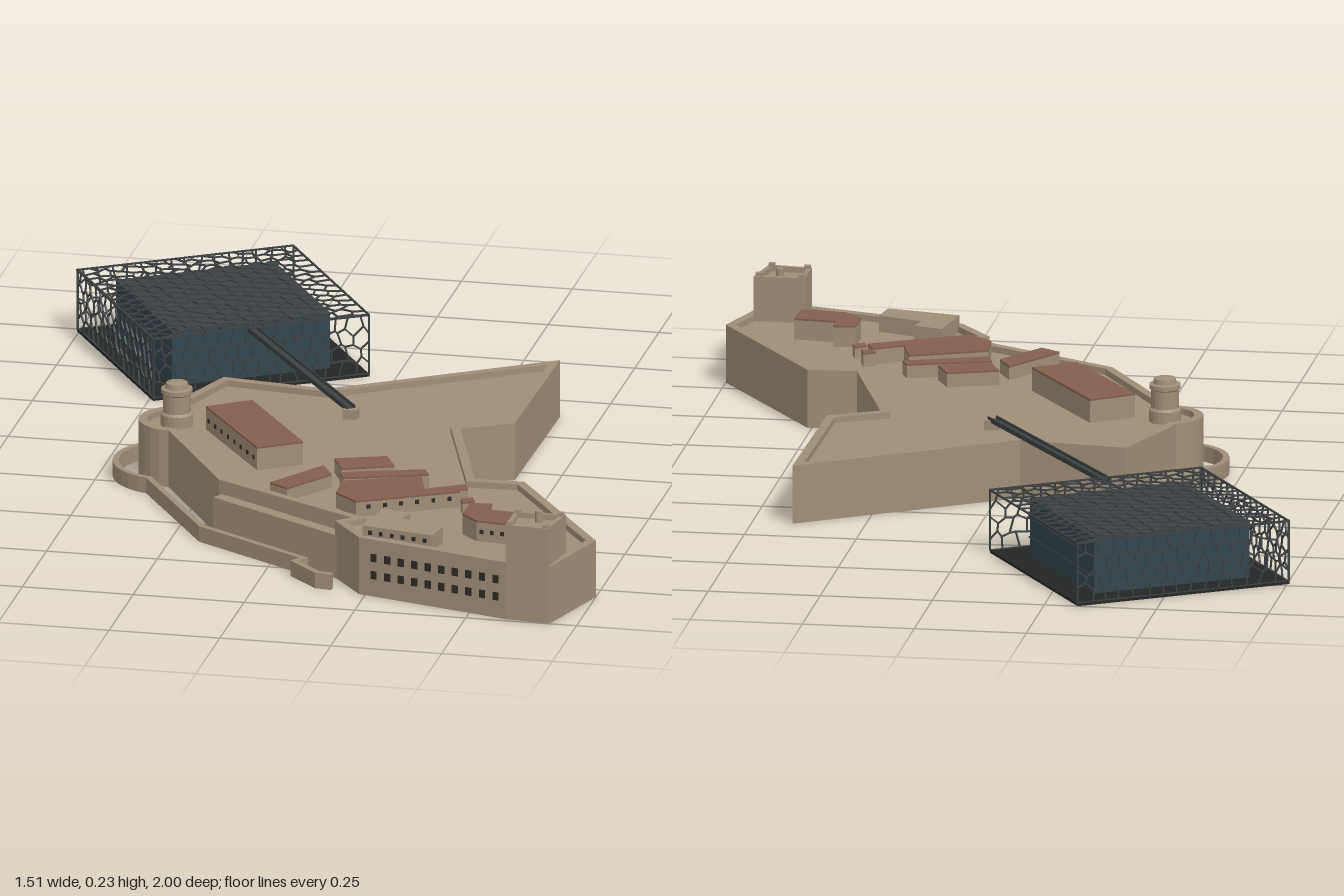
import * as THREE from 'three';
import { mergeGeometries } from 'three/addons/utils/BufferGeometryUtils.js';

const mat = (color, side = THREE.FrontSide) => new THREE.MeshStandardMaterial({ color, side, flatShading: true });
const stone = mat(0xa08e76), tile = mat(0x835e4c), dark = mat(0x2a2a28);
const glass = mat(0x30464f), steel = mat(0x3c4143), plate = mat(0x242626);

// Small seeded generator for the irregular lattice
let seed = 7;
const rand = () => (seed = (seed * 16807) % 2147483647) / 2147483647 - 0.5;

function add(parent, name, geo, material, x = 0, y = 0, z = 0) {
  const m = new THREE.Mesh(geo, material);
  m.name = name;
  m.position.set(x, y, z);
  parent.add(m);
  return m;
}

// Plan points are [x, z]; prism() raises them from y0 to y1
const plan = pts => pts.map(([x, z]) => new THREE.Vector2(x, -z));
function prism(pts, y0, y1, hole) {
  const s = new THREE.Shape(plan(pts));
  if (hole) s.holes.push(new THREE.Path(plan(hole)));
  return new THREE.ExtrudeGeometry(s, { depth: y1 - y0, bevelEnabled: false })
    .rotateX(-Math.PI / 2).translate(0, y0, 0);
}

// Mitred sideways offset of a plan path
function offset(pts, d, closed) {
  const n = pts.length;
  const normal = (a, b) => {
    const dx = b[0] - a[0], dz = b[1] - a[1], l = Math.hypot(dx, dz);
    return [dz / l, -dx / l];
  };
  return pts.map((p, i) => {
    const hasPrev = closed || i > 0, hasNext = closed || i < n - 1;
    const a = hasPrev ? normal(pts[(i + n - 1) % n], p) : normal(p, pts[i + 1]);
    const b = hasNext ? normal(p, pts[(i + 1) % n]) : a;
    const k = d / Math.max(0.35, 1 + a[0] * b[0] + a[1] * b[1]);
    return [p[0] + (a[0] + b[0]) * k, p[1] + (a[1] + b[1]) * k];
  });
}
const ribbon = (pts, w, y0, y1) =>
  prism([...offset(pts, w / 2), ...offset(pts, -w / 2).reverse()], y0, y1);

function arc(cx, cz, r, a0, a1, n) {
  return Array.from({ length: n + 1 }, (_, i) => {
    const a = THREE.MathUtils.degToRad(a0 + (a1 - a0) * i / n);
    return [cx + r * Math.cos(a), cz + r * Math.sin(a)];
  });
}

// Row of dark window openings along a wall from a to b
function windows(parent, a, b, y, n, w, h) {
  const geos = [], ang = -Math.atan2(b[1] - a[1], b[0] - a[0]);
  for (let i = 0; i < n; i++) {
    const t = (i + 0.5) / n;
    geos.push(new THREE.BoxGeometry(w, h, 0.004).rotateY(ang)
      .translate(a[0] + (b[0] - a[0]) * t, y, a[1] + (b[1] - a[1]) * t));
  }
  add(parent, 'windowRow', mergeGeometries(geos), dark);
}

// Irregular honeycomb of thin bars in the XY plane, centred
function lattice(w, h, cols, rows) {
  const grid = [], bars = [], t = 0.0035, cw = w / cols, rh = h / rows;
  for (let j = 0; j <= rows; j++) {
    grid.push([]);
    for (let i = 0; i <= cols * 2; i++) {
      const edgeX = i === 0 || i === cols * 2, edgeY = j === 0 || j === rows;
      const zig = ((i + j) % 2 ? -1 : 1) * rh * 0.15;
      grid[j].push([i * cw / 2 - w / 2 + (edgeX ? 0 : rand() * cw * 0.4),
        j * rh - h / 2 + (edgeY ? 0 : zig + rand() * rh * 0.45)]);
    }
  }
  const bar = (a, b) => {
    const dx = b[0] - a[0], dy = b[1] - a[1];
    bars.push(new THREE.BoxGeometry(Math.hypot(dx, dy) + t * 0.6, t, t)
      .rotateZ(Math.atan2(dy, dx)).translate((a[0] + b[0]) / 2, (a[1] + b[1]) / 2, 0));
  };
  grid.forEach((row, j) => row.forEach((p, i) => {
    if (i < cols * 2) bar(p, row[i + 1]);
    if (j < rows && ((i + j) % 2 === 0 || i === 0 || i === cols * 2)) bar(p, grid[j + 1][i]);
  }));
  return mergeGeometries(bars);
}

function createFort() {
  const fort = new THREE.Group();
  fort.name = 'fort';

  // Main walls, sunken deck and parapet
  const outline = [[0.41, -0.39], [-0.05, -0.09], [-0.29, -0.12], [-0.355, 0.06],
    ...arc(-0.33, 0.18, 0.085, -115, -270, 10),
    [-0.15, 0.57], [0.19, 0.76], [0.16, 0.79], [0.235, 0.89], [0.59, 0.99], [0.69, 0.995],
    [0.75, 0.8], [0.51, 0.44], [0.4, 0.445], [0.295, 0.115], [0.405, 0.055]];
  add(fort, 'fortBody', prism(outline, 0, 0.118), stone);
  add(fort, 'parapet', prism(outline, 0.118, 0.132, offset(outline, 0.02, true)), stone);
  for (const y of [0.05, 0.09]) windows(fort, [0.255, 0.896], [0.58, 0.988], y, 10, 0.014, 0.018);

  // Low outer walls
  const low = [[-0.07, -0.125], [-0.31, -0.175], [-0.37, 0.055],
    ...arc(-0.33, 0.18, 0.135, -107, -255, 14),
    [-0.18, 0.61], [0.085, 0.775], [0.07, 0.8], [0.135, 0.865], [0.17, 0.87]];
  add(fort, 'outerWall', ribbon(low, 0.014, 0, 0.036), stone);
  add(fort, 'lowerTerrace', ribbon([[-0.15, 0.585], [0.175, 0.785]], 0.03, 0, 0.1), stone);

  // Round tower with a narrower lantern
  const profile = [[0.036, 0.11], [0.036, 0.145], [0.031, 0.15], [0.031, 0.19], [0.035, 0.193],
    [0.035, 0.203], [0.026, 0.205], [0.024, 0.216], [0, 0.219]].map(p => new THREE.Vector2(...p));
  add(fort, 'roundTower', new THREE.LatheGeometry(profile, 20), stone, -0.33, 0, 0.18);

  // Square corner tower with parapet, merlons and turret
  const keep = [[0.588, 0.893], [0.588, 0.99], [0.685, 1], [0.703, 0.893]];
  add(fort, 'cornerTower', prism(keep, 0, 0.208), stone);
  add(fort, 'cornerTowerParapet', prism(keep, 0.208, 0.22, offset(keep, 0.01, true)), stone);
  for (const [x, z] of offset(keep, 0.009, true))
    add(fort, 'merlon', new THREE.BoxGeometry(0.013, 0.007, 0.013), stone, x, 0.2235, z);
  add(fort, 'turret', new THREE.CylinderGeometry(0.009, 0.009, 0.026, 10), stone, 0.648, 0.221, 0.92);

  // Buildings on the deck: [height, plan]
  const houses = [
    [0.172, [[-0.26, 0.2], [-0.17, 0.135], [0, 0.39], [-0.09, 0.45]]],
    [0.152, [[0.08, 0.43], [0.19, 0.39], [0.22, 0.45], [0.11, 0.495]]],
    [0.15, [[0.11, 0.515], [0.29, 0.455], [0.305, 0.485], [0.125, 0.55]]],
    [0.155, [[0.13, 0.585], [0.295, 0.515], [0.32, 0.6], [0.385, 0.56], [0.4, 0.6], [0.19, 0.715], [0.135, 0.665]]],
    [0.15, [[-0.025, 0.615], [0.065, 0.475], [0.095, 0.53], [0.02, 0.645]]],
    [0.15, [[0.375, 0.55], [0.4, 0.535], [0.41, 0.565], [0.385, 0.575]]],
    [0.145, [[0.405, 0.62], [0.43, 0.605], [0.44, 0.63], [0.415, 0.645]]],
    [0.166, [[0.445, 0.705], [0.495, 0.7], [0.495, 0.74], [0.59, 0.75], [0.585, 0.83], [0.485, 0.82], [0.445, 0.78]]]];
  for (const [h, pts] of houses) {
    add(fort, 'houseWalls', prism(pts, 0.11, h - 0.004), stone);
    add(fort, 'houseRoof', prism(pts, h - 0.004, h), tile);
  }
  add(fort, 'gunHouse', prism([[0.26, 0.75], [0.325, 0.77], [0.315, 0.81], [0.415, 0.845],
    [0.405, 0.91], [0.24, 0.875]], 0.11, 0.155), stone);
  windows(fort, [0.245, 0.877], [0.4, 0.91], 0.141, 6, 0.008, 0.009);
  windows(fort, [0.485, 0.821], [0.58, 0.83], 0.141, 4, 0.008, 0.009);
  windows(fort, [0.2, 0.711], [0.395, 0.604], 0.14, 6, 0.008, 0.009);
  windows(fort, [-0.26, 0.2], [-0.09, 0.45], 0.143, 8, 0.008, 0.009);
  return fort;
}

function createPavilion() {
  const pavilion = new THREE.Group(), S = 0.505, H = 0.138;
  pavilion.name = 'latticePavilion';
  add(pavilion, 'basePlate', new THREE.BoxGeometry(S, 0.006, S), plate, 0, 0.003, 0);
  add(pavilion, 'glassHall', new THREE.BoxGeometry(0.37, 0.124, 0.37), glass, 0, 0.068, 0);
  add(pavilion, 'hallRoof', new THREE.BoxGeometry(0.372, 0.004, 0.372), steel, 0, 0.132, 0);
  for (const y of [0.045, 0.088])
    add(pavilion, 'floorBand', new THREE.BoxGeometry(0.374, 0.003, 0.374), steel, 0, y, 0);
  // Lattice roof and three lattice sides; the fourth side is open
  add(pavilion, 'latticeRoof', lattice(S, S, 14, 15), steel, 0, 0.143, 0).rotation.x = -Math.PI / 2;
  for (const a of [-1, 0, 1]) {
    const r = S / 2 - 0.002, ang = a * Math.PI / 2;
    add(pavilion, 'latticeSide', lattice(S, H, 15, 4), steel,
      Math.sin(ang) * r, 0.006 + H / 2, Math.cos(ang) * r).rotation.y = ang;
  }
  pavilion.position.set(-0.407, 0, -0.652);
  pavilion.rotation.y = -1.018;
  return pavilion;
}

export function createModel() {
  const model = new THREE.Group();
  model.add(createFort(), createPavilion());
  // Footbridge from the deck to the pavilion roof
  const a = [0.035, 0.055], b = [-0.3, -0.44];
  add(model, 'footbridge', ribbon([a, b], 0.022, 0.135, 0.14), steel);
  for (const d of [-0.01, 0.01])
    add(model, 'bridgeRail', ribbon(offset([a, b], d), 0.003, 0.14, 0.146), steel);
  add(model, 'bridgeLanding', new THREE.BoxGeometry(0.032, 0.028, 0.032), stone, 0.035, 0.126, 0.052);
  return model;
}
